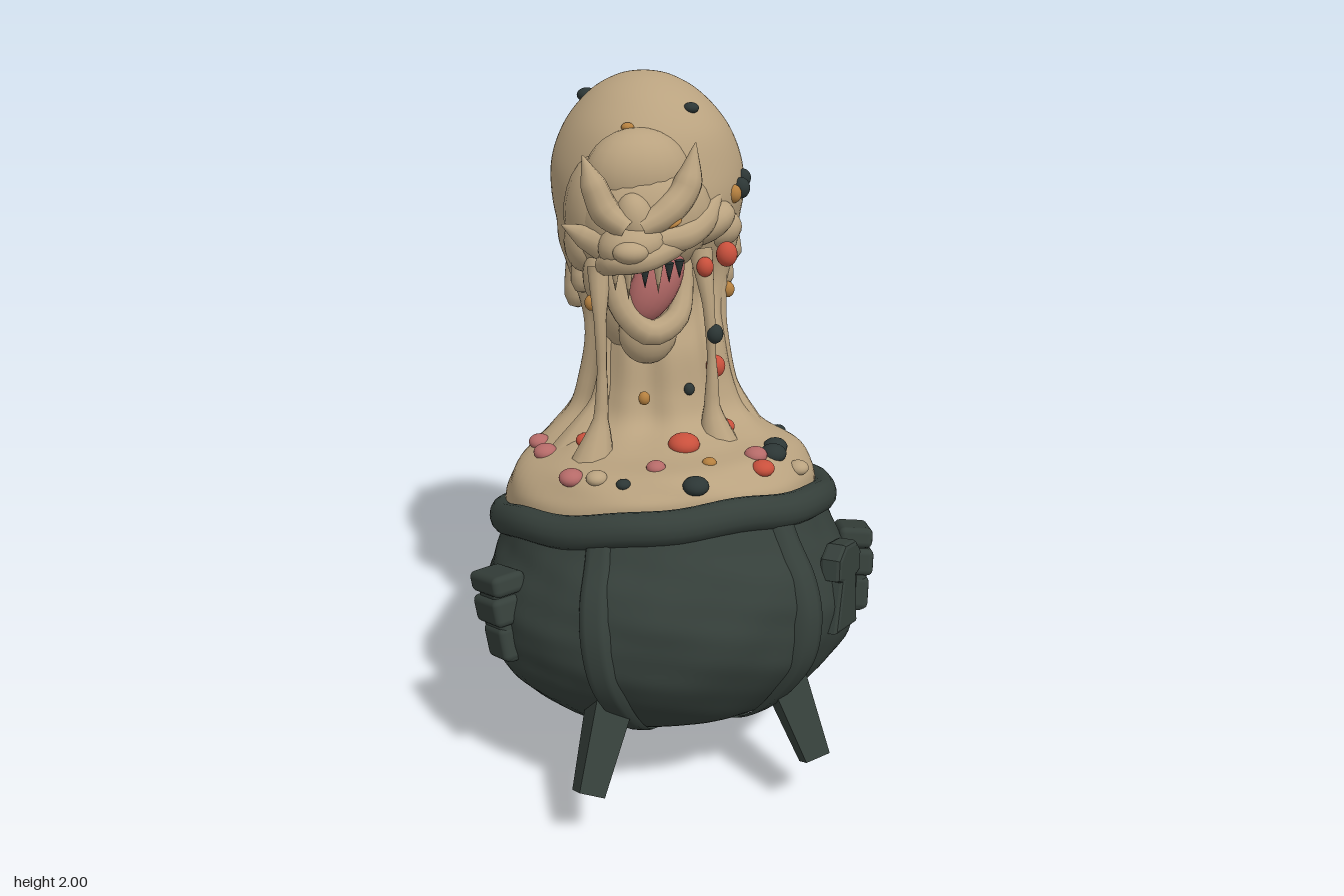
import * as THREE from 'three';
import { mergeVertices } from 'three/addons/utils/BufferGeometryUtils.js';
import { RoundedBoxGeometry } from 'three/addons/geometries/RoundedBoxGeometry.js';

const V = (p) => new THREE.Vector3(...p);

function material(name, color) {
  const m = new THREE.MeshStandardMaterial({ color });
  m.name = name;
  return m;
}

// Weld seams and recompute smooth normals
function smooth(geo) {
  geo.deleteAttribute('uv');
  geo.deleteAttribute('normal');
  const g = mergeVertices(geo, 1e-5);
  g.computeVertexNormals();
  return g;
}

// Skin through elliptical rings [y, cx, cz, rx, rz, tilt], with a radius rule
function loft(rings, steps, seg, rule) {
  const centre = new THREE.CatmullRomCurve3(rings.map((r) => V([r[1], r[0], r[2]])), false, 'catmullrom');
  const size = new THREE.CatmullRomCurve3(rings.map((r) => V([r[3], r[4], r[5]])), false, 'catmullrom');
  const pos = [], index = [];
  for (let i = 0; i <= steps; i++) {
    const c = centre.getPoint(i / steps), s = size.getPoint(i / steps);
    for (let j = 0; j < seg; j++) {
      const a = (j / seg) * Math.PI * 2, k = rule(a, c.y);
      const z = Math.cos(a) * s.y * k;
      pos.push(c.x + Math.sin(a) * s.x * k, c.y + z * s.z, c.z + z);
      if (i === steps) continue;
      const p = i * seg + j, q = i * seg + ((j + 1) % seg);
      index.push(p, q, q + seg, p, q + seg, p + seg);
    }
  }
  const g = new THREE.BufferGeometry();
  g.setAttribute('position', new THREE.Float32BufferAttribute(pos, 3));
  g.setIndex(index);
  g.computeVertexNormals();
  return g;
}

// Tube along points whose radius follows a list
function taper(points, radii, n = 20, sides = 10) {
  const curve = new THREE.CatmullRomCurve3(points.map(V));
  const g = new THREE.TubeGeometry(curve, n, 1, sides);
  const p = g.attributes.position, v = new THREE.Vector3();
  for (let i = 0; i < p.count; i++) {
    const t = Math.floor(i / (sides + 1)) / n, f = t * (radii.length - 1);
    const k = Math.min(Math.floor(f), radii.length - 2);
    const r = THREE.MathUtils.lerp(radii[k], radii[k + 1], f - k), c = curve.getPointAt(t);
    v.fromBufferAttribute(p, i).sub(c).multiplyScalar(r).add(c);
    p.setXYZ(i, v.x, v.y, v.z);
  }
  return smooth(g);
}

export function createModel() {
  const root = new THREE.Group();
  root.name = 'cauldronCreature';
  const iron = material('iron', 0x353f3a), slime = material('slime', 0xb9a27f);
  const red = material('red', 0xc9503c), pink = material('pink', 0xb56a68);
  const orange = material('orange', 0xb5803f), dark = material('dark', 0x2c3635);
  iron.side = THREE.DoubleSide;

  const add = (name, geo, mat, parent = root) => {
    const m = new THREE.Mesh(geo, mat);
    m.name = name;
    parent.add(m);
    return m;
  };
  const ball = (name, mat, p, r, rz = 0) => {
    const m = add(name, new THREE.SphereGeometry(1, 20, 14), mat);
    m.position.set(...p);
    m.scale.set(...r);
    m.rotation.z = rz;
  };

  // Cauldron, leaning back
  const pot = new THREE.Group();
  pot.name = 'cauldron';
  pot.position.set(0, 0.78, -0.03);
  pot.rotation.x = -0.29;
  root.add(pot);
  const profile = new THREE.SplineCurve([[0.001, -0.635], [0.18, -0.63], [0.32, -0.595], [0.44, -0.51], [0.525, -0.41],
    [0.558, -0.29], [0.545, -0.18], [0.5, -0.08], [0.47, 0]].map((p) => new THREE.Vector2(...p))).getPoints(48);
  const bodyGeo = new THREE.LatheGeometry(profile, 96);
  const bp = bodyGeo.attributes.position;
  for (let i = 0; i < bp.count; i++) {
    const x = bp.getX(i), y = bp.getY(i), z = bp.getZ(i), a = Math.atan2(x, z);
    const dent = Math.sin(5 * a + 11 * y) * Math.sin(17 * y + 3 * a) + 0.5 * Math.sin(11 * a - 23 * y)
      + 0.45 * Math.sin(17 * a + 31 * y) * Math.sin(43 * y - 8 * a);
    const k = 1 + 0.01 * dent;
    bp.setXYZ(i, x * k, y, z * k);
  }
  add('cauldronBody', smooth(bodyGeo), iron, pot);
  const rimGeo = new THREE.TorusGeometry(0.476, 0.043, 14, 72).rotateX(Math.PI / 2);
  const rp = rimGeo.attributes.position;
  for (let i = 0; i < rp.count; i++) {
    const a = Math.atan2(rp.getX(i), rp.getZ(i));
    rp.setY(i, rp.getY(i) * 1.1 + 0.006 * Math.sin(4 * a + 1) + 0.004 * Math.sin(9 * a));
  }
  add('rim', smooth(rimGeo), iron, pot);

  // Straps down the belly
  const strapLine = profile.map((p) => new THREE.Vector2(p.x * 1.03 + 0.002, p.y - 0.006));
  for (const a of [-0.64, 0.47, 1.72, -2.4]) {
    const g = new THREE.LatheGeometry(strapLine, 6, a - 0.09, 0.18), p = g.attributes.position;
    for (let i = 0; i < p.count; i++) {
      const col = Math.floor(i / strapLine.length);
      if (col === 0 || col === 6) p.setXYZ(i, p.getX(i) * 0.95, p.getY(i), p.getZ(i) * 0.95);
    }
    g.computeVertexNormals();
    add('strap', g, iron, pot);
  }

  // Legs from belly to tip
  for (const [top, tip] of [[[-0.26, 0.43, 0.38], [-0.37, 0.185, 0.52]], [[0.22, 0.43, 0.39], [0.285, 0.19, 0.54]],
    [[0.33, 0.32, -0.05], [0.445, 0.06, -0.085]], [[-0.17, 0.27, -0.2], [-0.215, 0.02, -0.265]]]) {
    const a = V(top), d = a.clone().sub(V(tip)), len = d.length();
    const g = new THREE.CylinderGeometry(0.08, 0.052, len, 4).rotateY(Math.PI / 4).toNonIndexed();
    g.computeVertexNormals();
    const leg = add('leg', g, iron);
    leg.position.copy(a).addScaledVector(d, -0.5);
    leg.quaternion.setFromUnitVectors(new THREE.Vector3(0, 1, 0), d.normalize());
  }

  // Plaques on the sides: a stepped block, or a round-headed plate
  const plaque = (name, a, h, r) => {
    const g = new THREE.Group();
    g.name = name;
    g.position.set(r * Math.sin(a), h, r * Math.cos(a));
    g.rotation.set(0.12, a, 0, 'YXZ');
    pot.add(g);
    return g;
  };
  for (const side of [-1, 1]) {
    const g = plaque('handleBlock', side * 1.28, -0.235, 0.55);
    for (const [w, h, d, y] of [[0.115, 0.25, 0.085, -0.01], [0.17, 0.06, 0.1, 0.09], [0.15, 0.08, 0.115, 0.015], [0.12, 0.1, 0.1, -0.08]])
      add('handleStep', new RoundedBoxGeometry(w, h, d, 2, 0.018), iron, g).position.y = y;
  }
  const plate = new THREE.Shape([[-0.065, -0.12], [0.065, -0.12], [0.038, 0.02], [0.07, 0.03], [0.07, 0.075], [0.035, 0.105],
    [-0.035, 0.105], [-0.07, 0.075], [-0.07, 0.03], [-0.038, 0.02]].map((p) => new THREE.Vector2(...p)));
  add('keyPlate', new THREE.ExtrudeGeometry(plate, { depth: 0.04, bevelSize: 0.012, bevelThickness: 0.012, bevelSegments: 2 }),
    iron, plaque('sidePlate', 0.8, -0.23, 0.53));

  // Slime: pool, neck and bulbous head in one skin, with folds, scallops and soft lumps
  const bump = (y, a, b) => THREE.MathUtils.smoothstep(y, a, a + 0.12) * (1 - THREE.MathUtils.smoothstep(y, b - 0.12, b));
  const goo = add('slimeBody', loft([
    [0.74, 0, -0.05, 0.46, 0.44, 0.3], [0.8, 0, -0.06, 0.465, 0.45, 0.3], [0.86, 0, -0.075, 0.455, 0.45, 0.25],
    [0.93, 0, -0.1, 0.41, 0.41, 0.2], [0.98, 0.01, -0.145, 0.33, 0.335, 0.12], [1.04, 0.03, -0.19, 0.265, 0.27, 0.05],
    [1.13, 0.03, -0.2, 0.23, 0.235, 0], [1.26, 0.03, -0.21, 0.205, 0.215, 0], [1.38, 0.03, -0.26, 0.21, 0.205, 0],
    [1.47, 0.03, -0.29, 0.235, 0.235, 0], [1.56, 0.03, -0.3, 0.262, 0.28, 0], [1.66, 0.03, -0.3, 0.278, 0.31, 0],
    [1.76, 0.03, -0.31, 0.272, 0.3, 0], [1.86, 0.03, -0.315, 0.23, 0.262, 0], [1.94, 0.03, -0.325, 0.158, 0.185, 0],
    [1.985, 0.03, -0.33, 0.078, 0.09, 0], [2, 0.03, -0.33, 0.001, 0.001, 0],
  ], 110, 84, (a, y) => 1 + bump(y, 0.92, 1.5) * (0.035 * Math.sin(7 * a + 1) + 0.02 * Math.sin(13 * a + y * 3))
    + bump(y, 1.3, 1.62) * 0.09 * Math.max(0, Math.sin(8 * a + Math.sin(3 * a)))
    + bump(y, 0.8, 1.06) * (0.02 * Math.sin(5 * a + 2) + 0.012 * Math.sin(9 * a + 30 * y))
    + bump(y, 1.5, 1.97) * 0.008 * Math.sin(4 * a + 9 * y)), slime);

  // Uneven drips below the back and sides of the head: [angle, y, width, length]
  const drop = [[0.001, -0.1], [0.025, -0.09], [0.037, -0.06], [0.036, -0.03], [0.03, 0.03], [0.022, 0.09], [0.001, 0.15]]
    .map((p) => new THREE.Vector2(...p));
  for (const [a, y, w, l] of [[1.1, 1.46, 1, 0.8], [1.45, 1.51, 1.2, 0.7], [1.75, 1.43, 1.1, 1], [2.15, 1.5, 1.2, 0.9],
    [2.55, 1.41, 1, 1.1], [2.95, 1.36, 1.15, 1.15], [3.3, 1.45, 0.9, 0.8], [3.65, 1.38, 1.2, 1.1], [4.1, 1.47, 1.1, 0.9],
    [4.5, 1.42, 1.1, 1.1], [4.9, 1.47, 1, 0.9]]) {
    const m = add('drip', new THREE.LatheGeometry(drop, 16), slime);
    const r = y > 1.48 ? 0.235 : 0.217;
    m.position.set(0.03 + r * Math.sin(a), y, -0.28 + r * Math.cos(a));
    m.scale.set(w, l, w);
  }

  // Drool strands from jaw to pool
  for (const [pts, radii] of [
    [[[-0.19, 1.52, 0], [-0.2, 1.4, 0.04], [-0.2, 1.2, 0.05], [-0.21, 1.08, 0.06], [-0.24, 0.96, 0.08]], [0.035, 0.018, 0.014, 0.022, 0.07]],
    [[[0.1, 1.55, 0], [0.11, 1.4, 0.05], [0.12, 1.2, 0.06], [0.12, 1.08, 0.07], [0.14, 0.96, 0.1]], [0.035, 0.018, 0.013, 0.024, 0.07]],
    [[[0.2, 1.48, -0.16], [0.2, 1.3, -0.13], [0.22, 1.1, -0.1], [0.27, 0.93, -0.05]], [0.035, 0.025, 0.035, 0.08]],
    [[[-0.15, 1.45, -0.14], [-0.14, 1.25, -0.11], [-0.17, 1.1, -0.08], [-0.27, 0.93, -0.05]], [0.035, 0.025, 0.035, 0.08]],
  ]) add('droolStrand', taper(pts, radii), slime);

  // Face: cheeks, snout, jaw and lumps that melt together
  for (const [name, p, r, rz] of [
    ['cheeks', [-0.04, 1.64, -0.06], [0.19, 0.17, 0.145]], ['sideCheek', [-0.14, 1.63, -0.13], [0.115, 0.18, 0.16]],
    ['snout', [-0.11, 1.59, 0.05], [0.095, 0.065, 0.09], 0.2], ['nose', [-0.13, 1.585, 0.115], [0.05, 0.032, 0.042]],
    ['noseBridge', [-0.1, 1.65, 0.05], [0.055, 0.08, 0.06], 0.2], ['forehead', [-0.06, 1.75, -0.07], [0.15, 0.13, 0.12]],
    ['throat', [-0.04, 1.42, -0.1], [0.15, 0.2, 0.11]], ['chin', [-0.05, 1.32, -0.01], [0.085, 0.095, 0.06]],
    ['cheekLump', [-0.21, 1.56, -0.12], [0.05, 0.08, 0.08]], ['cheekLump', [0.12, 1.61, -0.05], [0.1, 0.055, 0.08], 0.4],
    ['cheekLump', [0.18, 1.58, -0.12], [0.08, 0.06, 0.07]], ['cheekLump', [-0.17, 1.48, -0.05], [0.055, 0.09, 0.06]],
    ['browLump', [0.14, 1.72, -0.09], [0.06, 0.06, 0.05]],
  ]) ball(name, slime, p, r, rz);
  ball('mouth', pink, [-0.035, 1.465, 0.02], [0.066, 0.12, 0.058], -0.5);
  for (const [name, pts, radii] of [
    ['brow', [[-0.1, 1.64, 0.09], [-0.03, 1.67, 0.075], [0.04, 1.73, 0.05], [0.075, 1.85, 0.03]], [0.03, 0.042, 0.04, 0.002]],
    ['brow', [[-0.13, 1.64, 0.09], [-0.18, 1.68, 0.05], [-0.205, 1.74, 0.035], [-0.235, 1.83, 0.02]], [0.03, 0.042, 0.036, 0.002]],
    ['cheekFold', [[-0.07, 1.6, 0.08], [0.03, 1.605, 0.06], [0.1, 1.63, 0.015], [0.17, 1.69, -0.05]], [0.03, 0.04, 0.038, 0.01]],
    ['cheekSpike', [[-0.17, 1.58, 0], [-0.22, 1.6, -0.03], [-0.28, 1.63, -0.06]], [0.05, 0.035, 0.002]],
    ['upperLip', [[-0.18, 1.53, 0.02], [-0.16, 1.55, 0.085], [-0.1, 1.56, 0.11], [-0.02, 1.575, 0.075], [0.06, 1.59, 0.02]], [0.03, 0.034, 0.036, 0.034, 0.02]],
    ['lowerLip', [[0.06, 1.57, -0.04], [0.055, 1.45, -0.01], [0.02, 1.365, 0.035], [-0.06, 1.335, 0.05], [-0.13, 1.4, 0.03], [-0.16, 1.52, 0]], [0.02, 0.028, 0.034, 0.038, 0.036, 0.03]],
  ]) add(name, taper(pts, radii), slime);
  for (const [x, z, len, mat] of [[-0.165, 0.08, 0.07, slime], [-0.135, 0.105, 0.09, slime], [-0.09, 0.11, 0.06, dark],
    [-0.05, 0.1, 0.08, slime], [-0.015, 0.085, 0.055, dark], [0.02, 0.065, 0.05, dark]]) {
    const tooth = add('fang', new THREE.ConeGeometry(0.014, len, 8).rotateX(Math.PI), mat);
    tooth.position.set(x, 1.54 - len / 2, z);
  }
  ball('eye', orange, [0.0, 1.648, 0.085], [0.022, 0.008, 0.02], 0.5);

  // Coloured lumps dropped onto the slime from above: [x, z, radius, start height]
  const ray = new THREE.Raycaster();
  const land = (name, mat, list) => list.forEach(([x, z, r, from = 1.12]) => {
    ray.set(V([x, from, z]), V([0, -1, 0]));
    const hit = ray.intersectObject(goo)[0];
    ball(name, mat, [x, hit ? hit.point.y : 0.95, z], [r, r * 0.7, r]);
  });
  land('redLump', red, [[0.01, 0.15, 0.045], [0.2, 0.28, 0.033], [-0.24, 0.01, 0.03], [0.16, 0.06, 0.03]]);
  land('pinkLump', pink, [[-0.35, -0.13, 0.032], [-0.35, -0.04, 0.035], [-0.32, 0.17, 0.035], [-0.1, 0.25, 0.027],
    [0.2, 0.22, 0.033], [0.05, -0.46, 0.03]]);
  land('darkLump', dark, [[0.285, 0.15, 0.035], [0.26, 0.2, 0.038], [-0.2, 0.28, 0.02], [-0.02, 0.36, 0.036],
    [0.4, -0.13, 0.024], [-0.11, -0.46, 0.03, 3], [0.11, -0.13, 0.022, 3]]);
  land('orangeLump', orange, [[0.05, 0.26, 0.02], [-0.08, -0.1, 0.018, 3]]);
  land('slimeLump', slime, [[0.33, 0.22, 0.03], [-0.26, 0.22, 0.03]]);

  // Lumps on the neck, strands and head
  for (const [name, mat, p, r] of [
    ['redLump', red, [0.1, 1.51, 0.045], 0.028], ['redLump', red, [0.19, 1.52, -0.035], 0.036],
    ['redLump', red, [0.15, 1.2, 0], 0.033], ['darkLump', dark, [0.125, 1.32, 0.065], 0.028],
    ['darkLump', dark, [0.255, 1.69, -0.11], 0.03], ['darkLump', dark, [0.275, 1.71, -0.15], 0.026],
    ['darkLump', dark, [0.06, 1.15, 0.035], 0.018], ['orangeLump', orange, [0.225, 1.68, -0.085], 0.026],
    ['orangeLump', orange, [0.23, 1.385, -0.14], 0.024], ['orangeLump', orange, [0.235, 1.26, -0.3], 0.026],
    ['orangeLump', orange, [-0.07, 1.13, 0.02], 0.02], ['orangeLump', orange, [-0.215, 1.42, 0], 0.022],
  ]) ball(name, mat, p, [r * 0.85, r, r * 0.85]);

  return root;
}
